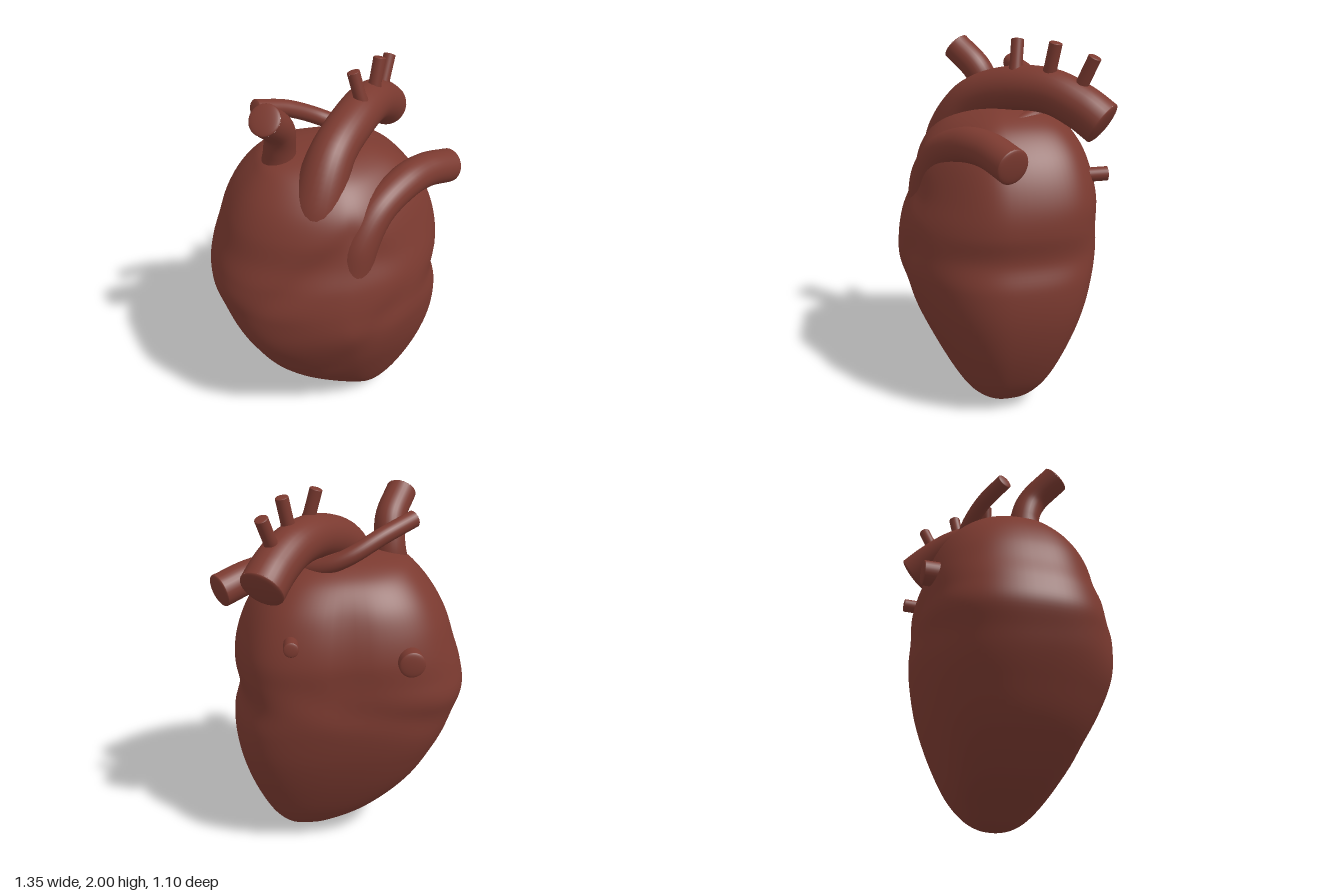
import * as THREE from 'three';

const flesh = new THREE.MeshStandardMaterial({ color: 0x7b3a30 });
flesh.name = 'dark red flesh';

// Body sections: y, right edge x, left edge x, back z, front z
const SECTIONS = [
  [0.0, 0.18, 0.18, 0, 0],
  [0.02, 0.09, 0.26, -0.09, 0.09],
  [0.08, -0.02, 0.345, -0.18, 0.18],
  [0.2, -0.22, 0.435, -0.28, 0.275],
  [0.4, -0.425, 0.525, -0.38, 0.39],
  [0.6, -0.545, 0.575, -0.455, 0.485],
  [0.78, -0.63, 0.58, -0.5, 0.545],
  [0.93, -0.678, 0.546, -0.525, 0.545],
  [1.07, -0.66, 0.565, -0.515, 0.52],
  [1.2, -0.617, 0.553, -0.512, 0.475],
  [1.34, -0.57, 0.508, -0.48, 0.445],
  [1.46, -0.505, 0.44, -0.43, 0.39],
  [1.56, -0.425, 0.345, -0.35, 0.3],
  [1.62, -0.35, 0.23, -0.25, 0.2],
  [1.65, -0.22, 0.1, -0.14, 0.09],
  [1.66, -0.06, -0.06, -0.02, -0.02],
];

const smooth = THREE.MathUtils.smoothstep;
const bell = (d, w) => Math.exp(-(d * d) / (w * w));

function sectionAt(f) {
  const last = SECTIONS.length - 1;
  const i = Math.min(Math.floor(f), last - 1), t = f - i;
  const row = k => SECTIONS[Math.max(0, Math.min(last, k))];
  return SECTIONS[0].map((_, c) => {
    const [a, b, d, e] = [row(i - 1)[c], row(i)[c], row(i + 1)[c], row(i + 2)[c]];
    return b + 0.5 * t * (d - a + t * (2 * a - 5 * b + 4 * d - e + t * (3 * (b - d) + e - a)));
  });
}

// Shallow furrows between the chambers
function furrow(x, y, z) {
  const front = smooth(z, -0.25, 0.25);
  const ring = front * (1.34 - 0.75 * Math.abs(x)) + (1 - front) * (0.95 + 0.2 * x);
  const edge = 1 - smooth(Math.abs(x), 0.35, 0.6);
  let depth = 0.035 * bell(y - ring, 0.09) * (0.25 + 0.75 * edge) * (1 - 0.9 * smooth(x, 0, 0.3));
  const split = -0.15 + 0.65 * (y - 0.4);
  depth += 0.025 * bell(x - split, 0.11) * smooth(z, 0.1, 0.3)
    * smooth(y, 0.25, 0.5) * (1 - smooth(y, 0.85, 1.1));
  depth += 0.025 * bell(x - 0.02, 0.09) * smooth(-z, 0.1, 0.3)
    * smooth(y, 0.95, 1.15) * (1 - smooth(y, 1.4, 1.6));
  return depth;
}

// How square the outline is towards each corner at a given height
function squareness(c, n, y) {
  const low = smooth(y, 0.1, 0.35) * (1 - smooth(y, 0.62, 0.9));
  const backLeft = 1.5 * Math.max(0, c) * Math.max(0, -n);
  const frontRight = (0.15 + 1.2 * low) * Math.max(0, -c) * Math.max(0, n);
  const backRight = 0.5 * low * Math.max(0, -c) * Math.max(0, -n);
  const frontLeft = (0.4 * bell(y - 0.95, 0.13) - 0.3 * smooth(y, 1.1, 1.35))
    * Math.max(0, c) * Math.max(0, n);
  return 2.2 - 0.4 * n - 0.2 * c + backLeft + frontRight + backRight + frontLeft;
}

function bodyGeometry() {
  const rows = 105, sides = 96, pos = [], index = [];
  for (let r = 0; r <= rows; r++) {
    const [y, x0, x1, z0, z1] = sectionAt(r / rows * (SECTIONS.length - 1));
    const cx = (x0 + x1) / 2, a = (x1 - x0) / 2;
    const cz = (z0 + z1) / 2 * smooth(r / rows, 0.8, 1);
    for (let s = 0; s < sides; s++) {
      const t = s / sides * Math.PI * 2, c = Math.cos(t), n = Math.sin(t);
      const power = 2 / squareness(c, n, y);
      const dx = a * Math.sign(c) * Math.abs(c) ** power;
      const dz = (n > 0 ? z1 - cz : cz - z0) * Math.sign(n) * Math.abs(n) ** power;
      const k = 1 - furrow(cx + dx, y, cz + dz);
      pos.push(cx + dx * k, y, cz + dz * k);
      if (r < rows) {
        const p = r * sides + s, q = r * sides + (s + 1) % sides;
        index.push(p, p + sides, q, q, p + sides, q + sides);
      }
    }
  }
  const g = new THREE.BufferGeometry();
  g.setAttribute('position', new THREE.Float32BufferAttribute(pos, 3));
  g.setIndex(index);
  g.computeVertexNormals();
  return g;
}

// Round vessel along a path, with a flared root and softly rounded ends
function vessel(name, radius, points, flare = 0) {
  const group = new THREE.Group();
  group.name = name;
  const path = new THREE.CatmullRomCurve3(points.map(p => new THREE.Vector3(...p)));
  const segs = 40, sides = 28;
  const tube = new THREE.TubeGeometry(path, segs, radius, sides);
  const p = tube.attributes.position, v = new THREE.Vector3();
  for (let i = 0; i <= segs; i++) {
    const mid = path.getPointAt(i / segs);
    const k = 1 + flare * (1 - smooth(i / segs, 0, 0.45));
    for (let j = 0; j <= sides; j++) {
      const n = i * (sides + 1) + j;
      v.fromBufferAttribute(p, n).sub(mid).multiplyScalar(k).add(mid);
      p.setXYZ(n, v.x, v.y, v.z);
    }
  }
  group.add(new THREE.Mesh(tube, flesh));
  for (const u of [0, 1]) {
    const r = u ? radius : radius * (1 + flare);
    const cap = new THREE.Mesh(
      new THREE.SphereGeometry(r, sides, 8, 0, Math.PI * 2, 0, Math.PI / 2), flesh);
    cap.scale.y = 0.2;
    cap.position.copy(path.getPointAt(u));
    const dir = path.getTangentAt(u).multiplyScalar(u ? 1 : -1);
    cap.quaternion.setFromUnitVectors(new THREE.Vector3(0, 1, 0), dir);
    group.add(cap);
  }
  group.children.forEach(m => { m.name = name + 'Surface'; });
  return group;
}

export function createModel() {
  const model = new THREE.Group();
  model.name = 'heart';
  const body = new THREE.Mesh(bodyGeometry(), flesh);
  body.name = 'chambers';
  model.add(body);

  // Great vessels
  model.add(vessel('aorticArch', 0.114, [
    [-0.17, 1.26, 0.25], [-0.13, 1.46, 0.235], [-0.04, 1.655, 0.13], [0.11, 1.74, -0.05],
    [0.25, 1.74, -0.24], [0.35, 1.675, -0.375], [0.412, 1.605, -0.465]], 0.3));
  model.add(vessel('pulmonaryTrunk', 0.09, [
    [0.01, 1.14, 0.38], [0.05, 1.28, 0.365], [0.15, 1.42, 0.305], [0.32, 1.495, 0.195],
    [0.46, 1.495, 0.1], [0.623, 1.45, 0.005]], 0.2));
  model.add(vessel('upperVein', 0.08, [
    [-0.285, 1.46, 0.02], [-0.28, 1.66, 0.025], [-0.285, 1.79, 0.07], [-0.365, 1.915, 0.185]], 0.45));
  model.add(vessel('crossingArtery', 0.044, [
    [-0.37, 1.83, -0.12], [-0.2, 1.77, -0.205], [-0.02, 1.68, -0.25], [0.11, 1.62, -0.215],
    [0.25, 1.56, -0.05], [0.34, 1.49, 0.07]]));

  // Branches on the arch
  const branches = [
    [[0.17, 1.79, -0.07], [0.12, 1.985, -0.09]],
    [[0.26, 1.79, -0.22], [0.298, 1.98, -0.25]],
    [[0.34, 1.73, -0.35], [0.402, 1.92, -0.42]],
  ];
  branches.forEach((ends, i) => model.add(vessel('archBranch' + (i + 1), 0.033, ends, 0.3)));

  // Stubs on the back
  model.add(vessel('rightBackVein', 0.066, [[-0.3, 1.21, -0.4], [-0.3, 1.21, -0.535]], 0.3));
  model.add(vessel('leftBackVein', 0.037, [[0.28, 1.31, -0.36], [0.29, 1.32, -0.535]], 0.3));
  return model;
}
